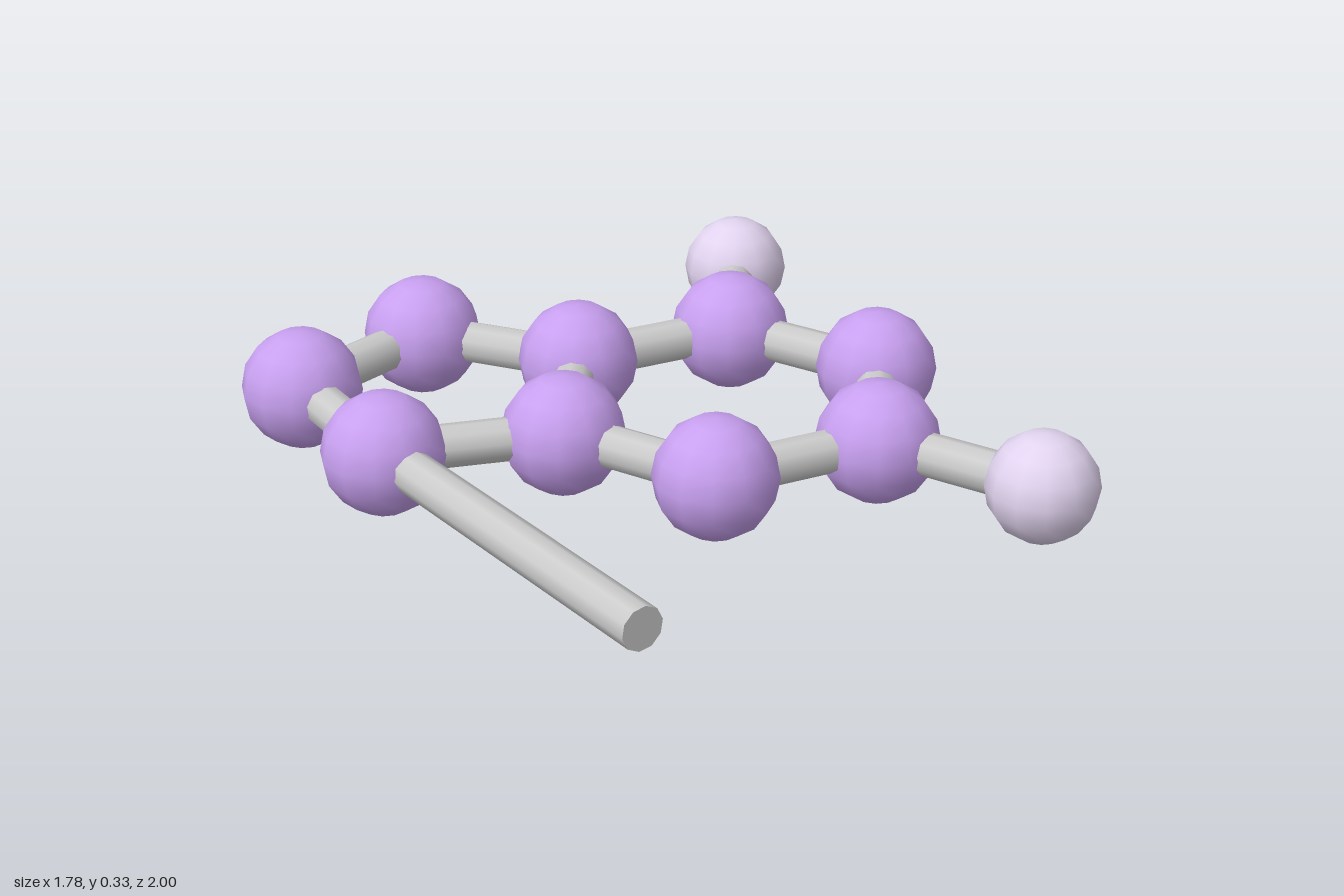
import * as THREE from 'three';

const Y = 0.17;
const ATOM_R = 0.165, SMALL_R = 0.148, BOND_R = 0.058;

// Atom centres on the flat plane, as [x, z]
const ringAtoms = {
  A: [-0.73, -0.61], B: [-0.30, -0.80], C: [0.015, -0.445],
  D: [0.49, -0.445], E: [0.725, -0.035], F: [0.49, 0.37],
  G: [0.015, 0.37], H: [-0.22, -0.035], I: [-0.685, -0.135],
};
const outerAtoms = { J: [0.725, -0.855], K: [0.725, 0.785] };
const freeEnd = { L: [-0.50, 0.99] };

const bonds = ['AB', 'BC', 'CD', 'DE', 'EF', 'FG', 'GH', 'HC', 'HI', 'IA', 'DJ', 'FK', 'IL'];

export function createModel() {
  const model = new THREE.Group();
  model.name = 'molecule';

  const purple = new THREE.MeshStandardMaterial({ color: 0xc8a0f0 });
  const lilac = new THREE.MeshStandardMaterial({ color: 0xe2d4f0 });
  const grey = new THREE.MeshStandardMaterial({ color: 0xcccccc });

  const points = {};
  for (const [key, [x, z]] of Object.entries({ ...ringAtoms, ...outerAtoms, ...freeEnd })) {
    points[key] = new THREE.Vector3(x, Y, z);
  }

  // Coarse, smooth-shaded balls
  const addAtoms = (atoms, radius, material, name) => {
    const geometry = new THREE.SphereGeometry(radius, 12, 8);
    for (const key of Object.keys(atoms)) {
      const atom = new THREE.Mesh(geometry, material);
      atom.name = name + key;
      atom.position.copy(points[key]);
      model.add(atom);
    }
  };
  addAtoms(ringAtoms, ATOM_R, purple, 'ringAtom');
  addAtoms(outerAtoms, SMALL_R, lilac, 'outerAtom');

  // Rods between atom centres, and one long rod with a free end
  const up = new THREE.Vector3(0, 1, 0);
  for (const [from, to] of bonds) {
    const a = points[from], b = points[to];
    const span = b.clone().sub(a);
    const bond = new THREE.Mesh(new THREE.CylinderGeometry(BOND_R, BOND_R, span.length(), 10), grey);
    bond.name = to === 'L' ? 'freeRod' : 'bond' + from + to;
    bond.position.copy(a).add(b).multiplyScalar(0.5);
    bond.quaternion.setFromUnitVectors(up, span.normalize());
    model.add(bond);
  }

  // Rest on the ground
  const box = new THREE.Box3().setFromObject(model);
  for (const part of model.children) part.position.y -= box.min.y;
  return model;
}
